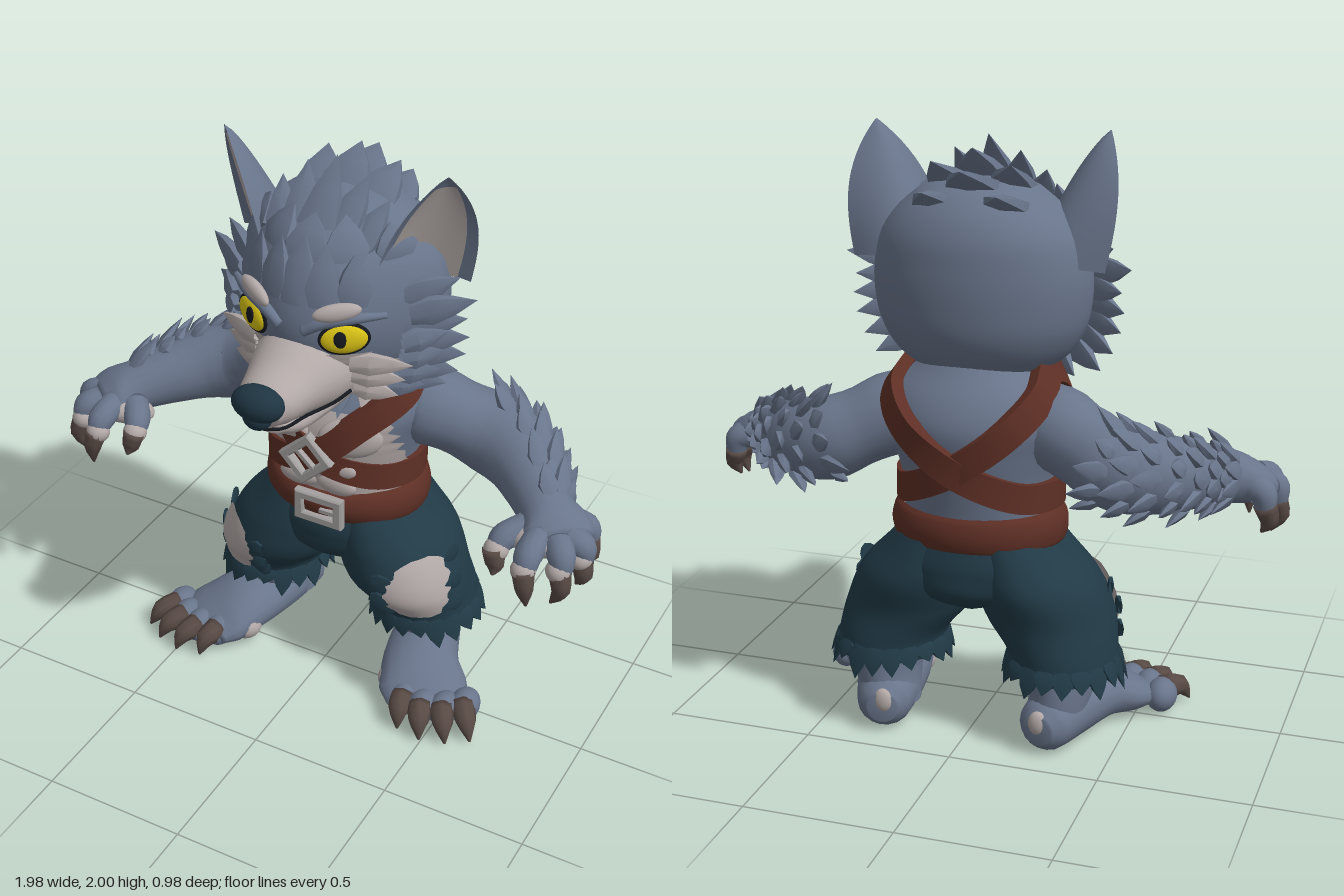
import * as THREE from 'three';
import { mergeGeometries, mergeVertices, toCreasedNormals } from 'three/addons/utils/BufferGeometryUtils.js';

const V = (x, y, z) => new THREE.Vector3(x, y, z);
const { PI, sin, cos } = Math, D = PI / 180;
const paint = (name, color) => new THREE.MeshStandardMaterial({ name, color, side: THREE.DoubleSide });
const M = {
  fur: paint('blue grey fur', 0x69758b), light: paint('pale fur', 0xb2a9a7), pants: paint('dark teal cloth', 0x213a46),
  leather: paint('brown leather', 0x5d2f25), claw: paint('claw brown', 0x584a45), nose: paint('nose', 0x1f3542),
  yellow: paint('eye yellow', 0xdcc516), dark: paint('dark line', 0x15181d), metal: paint('buckle metal', 0xa3a09f),
};
let seed = 7;
const rnd = () => (seed = (seed * 16807) % 2147483647) / 2147483647;

function add(parent, name, geo, mat, pos = [0, 0, 0], rot = [0, 0, 0]) {
  const m = new THREE.Mesh(geo, mat);
  m.name = name;
  m.position.set(...pos);
  m.rotation.set(...rot);
  parent.add(m);
}
function group(parent, name, s = 1) {
  const g = new THREE.Group();
  g.name = name;
  g.scale.x = s;
  parent.add(g);
  return g;
}
// Surface from a rule f(u, v), seams welded for smooth normals
function grid(f, nu, nv, crease = 0) {
  const p = [], idx = [], g = new THREE.BufferGeometry();
  for (let j = 0; j <= nv; j++) for (let i = 0; i <= nu; i++) {
    p.push(...f(i / nu, j / nv).toArray());
    const a = j * (nu + 1) + i, b = a + nu + 1;
    if (i < nu && j < nv) idx.push(a, a + 1, b, a + 1, b + 1, b);
  }
  g.setAttribute('position', new THREE.Float32BufferAttribute(p, 3));
  g.setIndex(idx);
  if (crease) return toCreasedNormals(g, crease);
  const welded = mergeVertices(g, 1e-5);
  welded.computeVertexNormals();
  return welded;
}
// Upright body: rows of [y, half width, front depth, back depth, centre x, centre z]
function upright(rows, wedge = 0) {
  const it = new THREE.CubicInterpolant(rows.map(r => r[0]), rows.flatMap(r => r.slice(1)), 5);
  const at = (a, y, off = 0) => {
    const [rx, rf, rb, cx, cz] = it.evaluate(y), c = cos(a);
    return V(cx + (rx + off) * sin(a) * (1 - wedge * Math.max(0, c)), y, cz + ((c > 0 ? rf : rb) + off) * c);
  };
  const y0 = rows[0][0], y1 = rows[rows.length - 1][0];
  at.geo = () => grid((u, v) => at(u * 2 * PI, y0 + (y1 - y0) * v), 40, 28);
  // patch between two heights, reaching `half` to both sides of angle `mid`
  at.patch = (ya, yb, half, off, mid = () => 0) => grid((u, v) => at(mid(v) + half(v) * (2 * u - 1), ya + (yb - ya) * v, off), 20, 18);
  return at;
}
// Limb along a path: sections of [x, y, z, half width, half height]
function limb(secs, ref = V(0, 1, 0), nu = 18, nv = 26) {
  const path = new THREE.CatmullRomCurve3(secs.map(s => V(s[0], s[1], s[2])));
  const rad = new THREE.CatmullRomCurve3(secs.map(s => V(s[3], s[4] ?? s[3], 0)));
  const f = (u, v) => {
    const k = Math.min(1, Math.max(0, (v * (nv + 2) - 1) / nv)), c = path.getPoint(k), t = path.getTangent(k);
    const side = ref.clone().cross(t).normalize(), up = t.clone().cross(side), r = rad.getPoint(k);
    if (v === 0 || v === 1) return c;
    return c.addScaledVector(side, r.x * cos(u * 2 * PI)).addScaledVector(up, r.y * sin(u * 2 * PI));
  };
  return { f, path, geo: grid(f, nu, nv + 2) };
}
const CURL = V(0.7, 0, -0.7);
const claw = (a, b, c, r) => limb([[...a, r], [...b, r * 0.8], [...c, 0.004]], CURL, 8, 6).geo;
// Pointed lock of fur or cloth from base to tip, thin along the normal
const LEAF = new THREE.LatheGeometry([[0.7, -0.08], [1, 0.25], [0.65, 0.62], [0.001, 1]].map(p => new THREE.Vector2(...p)), 6);
function lock(base, tip, w, thick, normal) {
  const d = tip.clone().sub(base), len = d.length(), side = d.normalize().clone().cross(normal).normalize(), n = side.clone().cross(d);
  return LEAF.clone().applyMatrix4(new THREE.Matrix4().makeBasis(side.multiplyScalar(w), d.multiplyScalar(len), n.multiplyScalar(thick)).setPosition(base));
}
const locks = list => toCreasedNormals(mergeGeometries(list), 0.7);
const ball = (rx, ry, rz) => new THREE.SphereGeometry(1, 24, 16).scale(rx, ry, rz);
function buckleFrame(w, h, t) {
  const box = (C, a, b) => new C([[-a, -b], [a, -b], [a, b], [-a, b]].map(p => new THREE.Vector2(...p)));
  const s = box(THREE.Shape, w, h);
  s.holes.push(box(THREE.Path, w - t, h - t));
  return new THREE.ExtrudeGeometry(s, { depth: 0.025, bevelSize: 0.005, bevelThickness: 0.005, bevelSegments: 1 });
}

function buildHead(root) {
  const head = group(root, 'head'), C = [0, -0.12];
  const S = upright([[1.2, 0.13, 0.14, 0.13, ...C], [1.27, 0.26, 0.25, 0.21, ...C], [1.36, 0.33, 0.31, 0.265, ...C],
    [1.48, 0.36, 0.345, 0.285, ...C], [1.6, 0.355, 0.325, 0.285, ...C], [1.7, 0.32, 0.275, 0.27, ...C],
    [1.79, 0.235, 0.2, 0.215, ...C], [1.84, 0.15, 0.12, 0.14, ...C], [1.87, 0.01, 0.01, 0.01, ...C]], 0.25);
  add(head, 'skull', S.geo(), M.fur);
  add(head, 'cheekMask', S.patch(1.25, 1.43, v => (46 + 26 * sin(PI * Math.min(1, v * 1.1)) + 4 * sin(v * 40)) * D, 0.008), M.light);
  // muzzle, jaw and nose
  add(head, 'muzzle', limb([[0, 1.33, 0.08, 0.19, 0.14], [0, 1.335, 0.2, 0.155, 0.135], [0, 1.33, 0.3, 0.122, 0.103],
    [0, 1.325, 0.38, 0.1, 0.083], [0, 1.315, 0.43, 0.07, 0.06]], undefined, 28).geo, M.light);
  add(head, 'jaw', limb([[0, 1.265, 0.06, 0.16, 0.075], [0, 1.238, 0.2, 0.125, 0.063], [0, 1.22, 0.29, 0.09, 0.05], [0, 1.235, 0.365, 0.05, 0.028]]).geo, M.light);
  add(head, 'nose', ball(0.09, 0.06, 0.06), M.nose, [0, 1.35, 0.43]);
  add(head, 'noseLip', ball(0.05, 0.045, 0.04), M.nose, [0, 1.305, 0.435]);
  // crown: broad locks up the forehead, then tall loose ones
  const crown = [];
  for (const [y, spread, rise, w] of [[1.6, 19, 0.2, 0.065], [1.72, 33, 0.14, 0.08]]) for (let i = -2; i <= 2; i++)
    crown.push(lock(S(i * spread * D, y, -0.01), S(i * spread * D, Math.min(1.84, y + rise - 0.02 * Math.abs(i)), 0.06), w, 0.03, V(sin(i * spread * D), 0.4, 0.8)));
  const tall = [[0, 1.72, 0.09, 0, 1.975, -0.08, 0.08], [0, 1.83, -0.11, 0, 1.955, -0.24, 0.09], [0, 1.82, -0.2, 0, 1.9, -0.36, 0.1]];
  for (const s of [1, -1]) tall.push([s * 0.06, 1.74, 0.06, s * 0.11, 1.93, -0.09, 0.07], [s * 0.13, 1.72, 0.04, s * 0.19, 1.87, -0.07, 0.06],
    [s * 0.09, 1.8, -0.11, s * 0.13, 1.91, -0.26, 0.09], [s * 0.11, 1.77, -0.23, s * 0.12, 1.83, -0.37, 0.09]);
  for (const [a, b, c, d, e, f, w] of tall) crown.push(lock(V(a, b, c), V(d, e, f), w, 0.035, V(0, 0.8, 0.6)));
  add(head, 'crownFur', locks(crown), M.fur);
  for (const s of [1, -1]) {
    const g = group(head, s > 0 ? 'leftFace' : 'rightFace', s);
    // cheek ruff in two layers
    const ruff = [];
    for (const [x, y] of [[0.42, 1.64], [0.48, 1.575], [0.45, 1.5], [0.46, 1.435], [0.45, 1.37], [0.425, 1.3], [0.385, 1.24], [0.3, 1.215]])
      ruff.push(lock(V(x * 0.66, y * 0.7 + 0.435, 0), V(x, y, -0.11), 0.055, 0.03, V(0.75, 0, 0.65)));
    for (const [x, y] of [[0.41, 1.47], [0.405, 1.395], [0.385, 1.32], [0.34, 1.25]])
      ruff.push(lock(V(x * 0.76, y * 0.75 + 0.35, 0.045), V(x, y, -0.06), 0.045, 0.028, V(0.75, 0, 0.65)));
    add(g, 'cheekRuff', locks(ruff), M.fur);
    add(g, 'paleCheekFur', locks([1.39, 1.345, 1.295].map((y, i) =>
      lock(V(0.18, y, 0.14 - i * 0.01), V(0.35 - i * 0.025, y - 0.015 * i, 0.065), 0.042, 0.025, V(0.55, 0, 1)))), M.light);
    // eye and brow
    const eye = group(g, 'eye');
    eye.position.set(0.163, 1.495, 0.176);
    eye.rotation.set(-0.05, 0.5, 0.14);
    add(eye, 'eyeRim', ball(0.083, 0.057, 0.014), M.dark);
    add(eye, 'eyeball', ball(0.077, 0.051, 0.023), M.yellow);
    add(eye, 'pupil', ball(0.021, 0.029, 0.006), M.dark, [-0.012, 0.006, 0.02]);
    add(g, 'browRidge', limb([[0.04, 1.51, 0.22, 0.018], [0.1, 1.546, 0.205, 0.02], [0.19, 1.568, 0.165, 0.018], [0.27, 1.57, 0.1, 0.01]]).geo, M.fur);
    add(g, 'browSpot', ball(0.078, 0.03, 0.022), M.light, [0.145, 1.59, 0.192], [-0.1, 0.5, 0.22]);
    const lip = [[0, 1.25, 0.42], [0.06, 1.25, 0.385], [0.094, 1.258, 0.3], [0.147, 1.272, 0.2], [0.175, 1.295, 0.15]].map(p => V(...p));
    add(g, 'mouthLine', new THREE.TubeGeometry(new THREE.CatmullRomCurve3(lip), 16, 0.006, 6), M.dark);
    // cupped ear: back shell, front shell, pale lining
    const fwd = V(0.72, 0, 0.69), side = V(0.69, 0, -0.72);
    const ear = (k, lift, span, top) => grid((u, v) => {
      const t = (u * 2 - 1) * span, h = v * top, w = 0.165 * (1 - h ** 2.8) + 0.003;
      const depth = 0.16 * (1 - h) ** 0.7 * k * (1 - t * t) - lift;
      return V(0.3 + 0.09 * h, 1.6 + 0.4 * h - 0.02 * t * t * (1 - h), -0.075 + 0.025 * h).addScaledVector(side, t * w).addScaledVector(fwd, -depth);
    }, 16, 16);
    add(g, 'earBack', ear(1, 0, 1, 1), M.fur);
    add(g, 'earFront', ear(0.5, 0, 1, 1), M.fur);
    add(g, 'earLining', ear(0.5, 0.006, 0.78, 0.9), M.light);
  }
}

function buildTorso(root) {
  const g = group(root, 'torso'), C = [0, -0.17];
  const T = upright([[0.62, 0.26, 0.21, 0.22, ...C], [0.75, 0.25, 0.215, 0.225, ...C], [0.88, 0.255, 0.23, 0.245, ...C], [1, 0.285, 0.25, 0.27, ...C],
    [1.1, 0.315, 0.23, 0.28, ...C], [1.19, 0.29, 0.17, 0.24, ...C], [1.26, 0.2, 0.12, 0.18, ...C], [1.34, 0.13, 0.1, 0.12, ...C]]);
  add(g, 'chest', T.geo(), M.fur);
  add(g, 'paleBelly', T.patch(0.74, 1.12, v => (115 - 72 * v ** 0.7 + 5 * sin(v * 50)) * D, 0.008), M.light);
  for (const s of [1, -1]) {
    add(g, 'pectoral', ball(0.11, 0.075, 0.035), M.light, [s * 0.12, 1.03, 0.048], [0, s * 0.4, 0]);
    for (const y of [0.83, 0.9]) add(g, 'abdominal', ball(0.075, 0.04, 0.025), M.light, [s * 0.07, y, 0.052]);
  }
  const bib = ids => locks(ids.map(i => lock(T(i * 18 * D, 1.25, 0.02), T(i * 14 * D, 1.09 + Math.abs(i) * 0.02, 0.025), 0.042, 0.02, V(sin(i * 0.3), 0.3, 1))));
  add(g, 'throatFur', bib([-3, -1, 0, 1, 3]), M.fur);
  add(g, 'throatFurPale', bib([-2, 2]), M.light);
  // crossed shoulder straps, each one a closed loop
  for (const s of [1, -1]) {
    const pts = [[58, 1.19], [28, 1.09], [0, 0.955], [-45, 0.875], [-90, 0.85], [-135, 0.87], [-180, 0.97], [-212, 1.1], [-235, 1.19]]
      .map(([a, y]) => T(a * D, y, 0.004 + (s > 0 ? 0.008 : 0)));
    const loop = new THREE.CatmullRomCurve3([...pts, V(0.235, 1.245, -0.19)].map(p => V(p.x * s, p.y, p.z)), true);
    const prof = [[-0.048, -0.02], [-0.048, 0.022], [0.048, 0.022], [0.048, -0.02], [-0.048, -0.02]];
    add(g, 'shoulderStrap', grid((u, v) => {
      const p = loop.getPoint(v), t = loop.getTangent(v), [w, h] = prof[Math.round(u * 4)];
      const n = p.clone().sub(V(0, Math.min(p.y, 1.08), -0.17));
      n.addScaledVector(t, -n.dot(t)).normalize();
      return p.addScaledVector(t.cross(n), w).addScaledVector(n, h);
    }, 4, 90, 0.6), M.leather);
  }
  // belt and buckles
  add(g, 'belt', upright([[0.67, 0.28, 0.225, 0.23, ...C], [0.685, 0.29, 0.24, 0.242, ...C], [0.78, 0.28, 0.24, 0.242, ...C], [0.795, 0.265, 0.22, 0.23, ...C]]).geo(), M.leather);
  add(g, 'beltBuckle', buckleFrame(0.085, 0.053, 0.022), M.metal, [0.02, 0.73, 0.066]);
  add(g, 'beltPin', new THREE.BoxGeometry(0.07, 0.015, 0.02), M.metal, [0.06, 0.73, 0.084]);
  add(g, 'strapBuckle', buckleFrame(0.07, 0.062, 0.02), M.metal, [-0.01, 0.95, 0.1], [0, 0, 0.75]);
  add(g, 'strapPin', new THREE.BoxGeometry(0.09, 0.014, 0.02), M.metal, [-0.01, 0.95, 0.12], [0, 0, -0.75]);
}

function buildArm(g) {
  const arm = limb([[0.2, 1.07, -0.19, 0.1], [0.27, 1.07, -0.21, 0.14], [0.38, 1.025, -0.25, 0.128], [0.49, 0.98, -0.275, 0.14], [0.6, 0.96, -0.235, 0.132],
    [0.7, 0.935, -0.14, 0.11], [0.78, 0.912, -0.05, 0.092], [0.84, 0.893, 0, 0.12, 0.075], [0.88, 0.875, 0.045, 0.11, 0.05]]);
  add(g, 'arm', arm.geo, M.fur);
  // overlapping fur along the outside of the forearm
  const fur = [];
  for (let j = 0; j < 8; j++) for (let i = 0; i < 5; i++) {
    const v = 0.37 + j * 0.052, u = (-55 + i * 32 + (j % 2) * 16) / 360, k = 0.6 + 0.9 * rnd();
    const p = arm.f(u, v), n = p.clone().sub(arm.path.getPoint((v * 28 - 1) / 26)).normalize();
    const tip = p.clone().addScaledVector(n, 0.045 * k).addScaledVector(arm.path.getTangent(v), -0.075 * k);
    fur.push(lock(p.addScaledVector(n, -0.01), tip, 0.036, 0.02, n));
  }
  add(g, 'forearmFur', locks(fur), M.fur);
  add(g, 'palePalm', ball(0.12, 0.05, 0.065), M.light, [0.79, 0.87, 0.055], [0, -0.25, 0.1]);
  // thumb, then four spread fingers with pale ends
  const fingers = [[[0.75, 0.885, 0.03], [0.7, 0.865, 0.095], [0.69, 0.82, 0.135], [0.7, 0.765, 0.17]],
    [[0.81, 0.89, 0.06], [0.81, 0.87, 0.155], [0.815, 0.81, 0.185], [0.83, 0.705, 0.19]],
    [[0.87, 0.885, 0.06], [0.905, 0.87, 0.105], [0.915, 0.8, 0.125], [0.885, 0.69, 0.12]],
    [[0.88, 0.885, 0.02], [0.94, 0.87, 0.02], [0.948, 0.8, 0.02], [0.93, 0.715, 0.02]],
    [[0.85, 0.89, -0.05], [0.915, 0.875, -0.075], [0.93, 0.81, -0.08], [0.915, 0.74, -0.07]]];
  fingers.forEach(([a, b, c, d], i) => {
    const [x, y, z] = c, m = b.map((n, k) => (n + c[k]) / 2);
    add(g, i ? 'finger' : 'thumb', limb([[...a, 0.05], [...b, 0.046], [...c, 0.03]], CURL, 12, 12).geo, M.fur);
    if (i < 4) add(g, 'paleFingerEnd', ball(0.042, 0.04, 0.042), M.light, [m[0] - 0.004, m[1] - 0.004, m[2] + 0.01]);
    add(g, 'fingerClaw', claw([x - 0.004, y + 0.025, z], [x + 0.008, y - 0.03, z + 0.012], d, 0.04), M.claw);
  });
}

function buildLeg(g, kneeY, kneeTurn) {
  const L = upright([[0.25, 0.185, 0.19, 0.205, 0.305, -0.2], [0.32, 0.185, 0.205, 0.2, 0.295, -0.2], [0.42, 0.215, 0.24, 0.225, 0.245, -0.17],
    [0.55, 0.205, 0.24, 0.25, 0.195, -0.17], [0.64, 0.16, 0.22, 0.235, 0.155, -0.17], [0.7, 0.13, 0.2, 0.22, 0.13, -0.17]]);
  add(g, 'trouserLeg', L.geo(), M.pants);
  const cloth = [];
  for (let i = 0; i < 20; i++) {
    const a = i / 20 * 2 * PI;
    cloth.push(lock(L(a, 0.3, -0.008), L(a + 0.06, 0.19 + 0.06 * rnd(), 0.025), 0.045, 0.012, V(sin(a), 0, cos(a))));
  }
  // torn knee with the fur showing
  const mid = v => (kneeTurn + 26 * v) * D;
  add(g, 'bareKnee', L.patch(kneeY, kneeY + 0.23, v => (10 + 19 * sin(PI * v) ** 0.5 + 2 * sin(v * 30)) * D, 0.016, mid), M.light);
  for (const [v, e] of [[0.1, -1], [0.35, -1], [0.7, -1], [0.15, 1], [0.5, 1], [0.85, 1]]) {
    const q = k => L(mid(v) + e * k * D, kneeY + 0.23 * v, 0.014);
    cloth.push(lock(q(40), q(22), 0.035, 0.012, V(0.5, 0, 0.85)));
  }
  add(g, 'tornCloth', locks(cloth), M.pants);
  // shin, foot and toes
  add(g, 'shin', upright([[0.07, 0.1, 0.1, 0.12, 0.29, -0.26], [0.2, 0.105, 0.17, 0.14, 0.305, -0.23], [0.34, 0.13, 0.15, 0.15, 0.29, -0.2]]).geo(), M.fur);
  add(g, 'foot', limb([[0.27, 0.09, -0.405, 0.05, 0.05], [0.28, 0.09, -0.36, 0.09, 0.085], [0.31, 0.1, -0.22, 0.115, 0.1],
    [0.36, 0.098, -0.05, 0.135, 0.095], [0.42, 0.07, 0.05, 0.155, 0.068], [0.45, 0.055, 0.11, 0.13, 0.045]]).geo, M.fur);
  add(g, 'heelSpot', ball(0.032, 0.042, 0.02), M.light, [0.27, 0.115, -0.395]);
  add(g, 'paleToe', ball(0.068, 0.055, 0.06), M.light, [0.315, 0.068, 0.05]);
  [[0.38, 0.11], [0.455, 0.125], [0.525, 0.1], [0.58, 0.05]].forEach(([x, z], i) => {
    const o = 0.02 + i * 0.014;
    add(g, 'toe', ball(0.053, 0.058, 0.07), M.fur, [x, 0.06, z]);
    add(g, 'toeClaw', claw([x, 0.075, z + 0.02], [x + o * 0.7, 0.065, z + 0.08], [x + o * 1.2, 0.008, z + 0.11], 0.045), M.claw);
  });
}

export function createModel() {
  const root = new THREE.Group(), C = [0, -0.17];
  root.name = 'wolfFighter';
  seed = 7;
  buildHead(root);
  buildTorso(root);
  add(root, 'trouserSeat', upright([[0.44, 0.06, 0.1, 0.12, ...C], [0.5, 0.22, 0.2, 0.23, ...C], [0.6, 0.3, 0.235, 0.255, ...C], [0.7, 0.275, 0.225, 0.235, ...C]]).geo(), M.pants);
  for (const s of [1, -1]) {
    buildArm(group(root, s > 0 ? 'leftArm' : 'rightArm', s));
    buildLeg(group(root, s > 0 ? 'leftLeg' : 'rightLeg', s), s > 0 ? 0.34 : 0.31, s > 0 ? 27 : 18);
  }
  return root;
}
